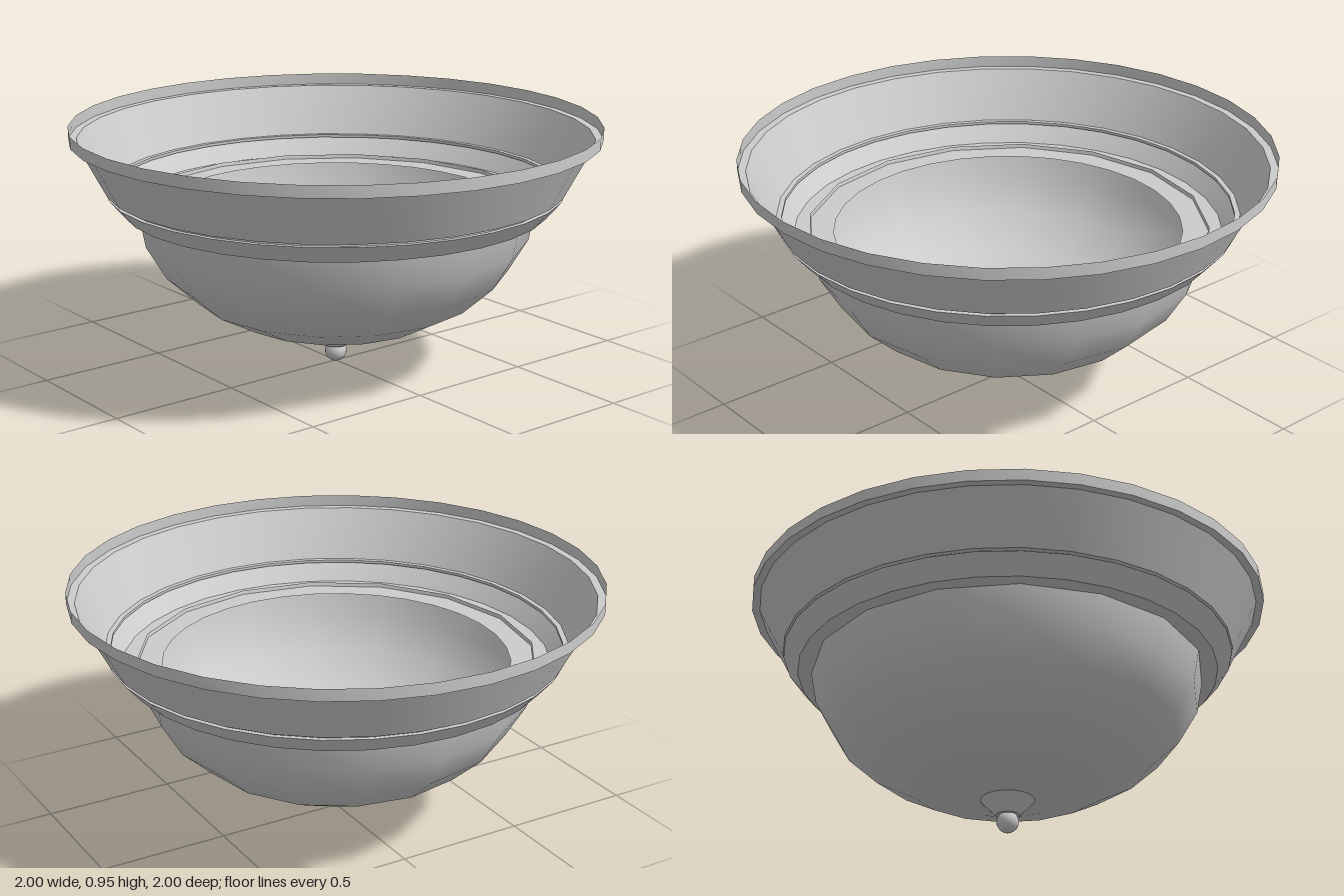
import * as THREE from 'three';
import { toCreasedNormals } from 'three/addons/utils/BufferGeometryUtils.js';

export function createModel() {
  const group = new THREE.Group();
  const material = new THREE.MeshStandardMaterial({ color: 0xcccccc, side: THREE.DoubleSide });

  // Revolve a [radius, height] profile, listed from bottom to top
  function addLathe(name, profile, sides) {
    const points = profile.map(([r, y]) => new THREE.Vector2(r, y));
    const geometry = toCreasedNormals(new THREE.LatheGeometry(points, sides), 0.6);
    const mesh = new THREE.Mesh(geometry, material);
    mesh.name = name;
    group.add(mesh);
  }

  // Sheet-metal ceiling pan: inner flange, lower bevel, groove, flared wall and rim
  addLathe('ceilingPan', [
    [0.66, 0.635], [0.81, 0.635], [0.867, 0.703], [0.85, 0.703], [0.85, 0.714],
    [0.87, 0.714], [0.97, 0.905], [1, 0.905], [1, 0.95],
  ], 32);

  // Glass bowl: flattened hemisphere whose rim rests just above the flange
  const bowl = [];
  for (let i = 0; i <= 6; i++) {
    const a = (i / 6) * Math.PI / 2;
    bowl.push([0.76 * Math.sin(a), 0.65 - 0.53 * Math.cos(a)]);
  }
  addLathe('glassBowl', bowl, 16);

  // Finial: tapered cap under the bowl
  addLathe('finialCap', [[0, 0.068], [0.045, 0.068], [0.105, 0.132], [0, 0.132]], 24);

  // Finial: ball at the tip
  const ball = new THREE.Mesh(new THREE.SphereGeometry(0.042, 20, 14), material);
  ball.name = 'finialBall';
  ball.position.y = 0.042;
  group.add(ball);

  return group;
}
